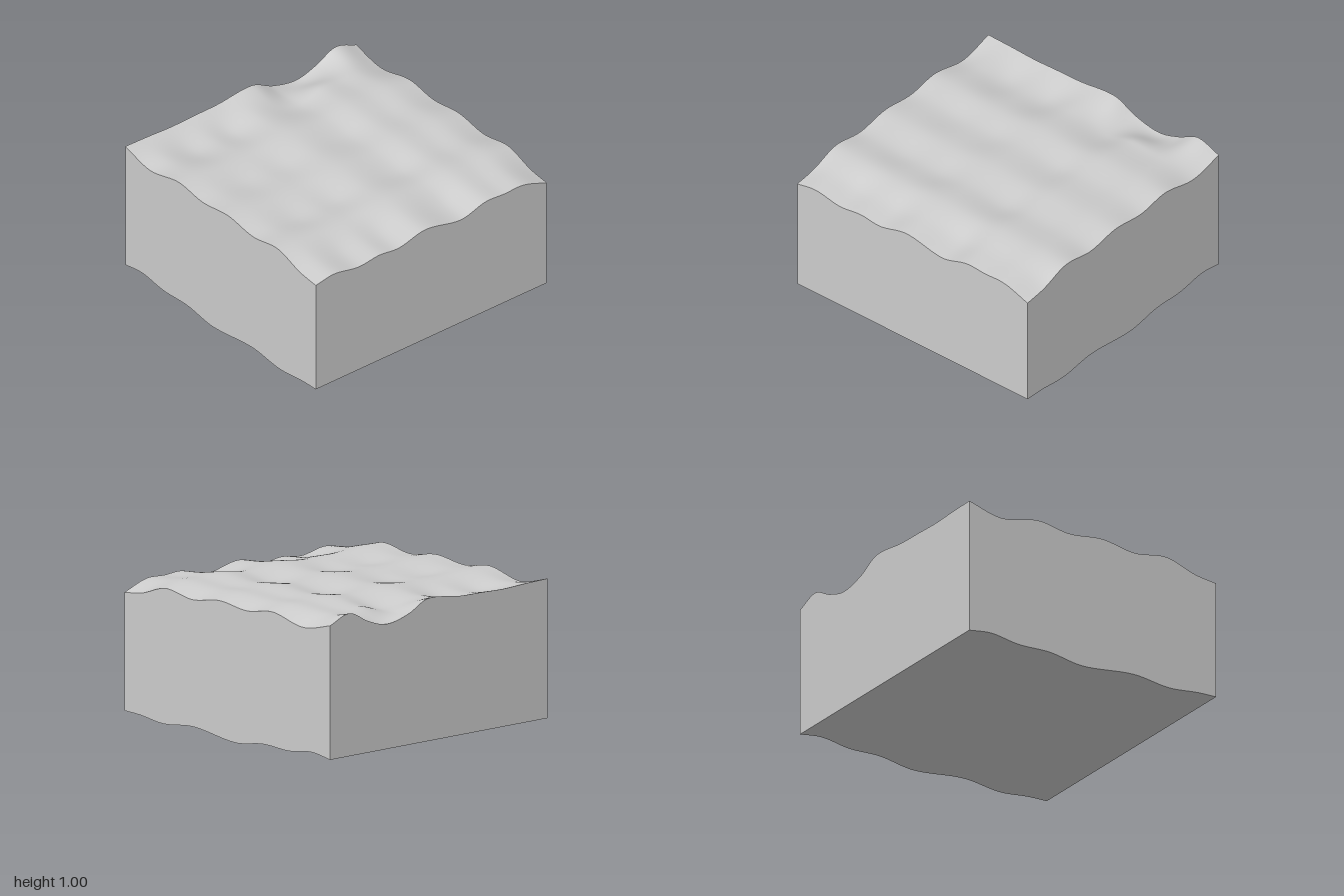
import * as THREE from 'three';

// Smooth curve through [position, height] pairs (cubic Hermite, uneven spacing)
function curve(knots) {
  const slope = knots.map((k, i) => {
    const a = knots[Math.max(i - 1, 0)], b = knots[Math.min(i + 1, knots.length - 1)];
    return (b[1] - a[1]) / (b[0] - a[0]);
  });
  return (t) => {
    let i = 0;
    while (i < knots.length - 2 && t > knots[i + 1][0]) i++;
    const [x0, y0] = knots[i], [x1, y1] = knots[i + 1];
    const d = x1 - x0, u = (t - x0) / d, u2 = u * u, u3 = u2 * u;
    return y0 * (2 * u3 - 3 * u2 + 1) + y1 * (3 * u2 - 2 * u3)
      + d * (slope[i] * (u3 - 2 * u2 + u) + slope[i + 1] * (u3 - u2));
  };
}

// Underside: waves along x only
const underside = curve([[-1, 0.025], [-0.82, 0.05], [-0.6, 0.025], [-0.35, 0.034],
  [-0.08, 0.003], [0.33, 0.05], [0.62, 0.027], [0.85, 0.053], [1, 0.06]]);

// Top: ridge line across x at the front edge
const ridges = curve([[-1, 0.978], [-0.74, 0.92], [-0.44, 0.98], [-0.19, 0.95],
  [0.08, 0.98], [0.34, 0.947], [0.6, 0.984], [0.83, 0.918], [1, 0.897]]);

// Height changes along z on the crests, in the valleys and at the x = -1 edge
const onCrest = curve([[-1, -0.03], [-0.82, -0.008], [-0.65, -0.01], [-0.46, 0], [-0.25, -0.02],
  [0.05, -0.003], [0.4, -0.022], [0.85, -0.004], [1, 0]]);
const inValley = curve([[-1, -0.03], [-0.8, 0.037], [-0.63, 0.037], [-0.47, 0.043], [-0.26, -0.01],
  [0.05, 0.042], [0.28, -0.007], [0.45, 0.008], [0.63, -0.01], [0.84, 0.024], [1, 0]]);
const atEdge = curve([[-1, -0.038], [-0.82, 0.021], [-0.65, -0.055], [-0.48, -0.1], [-0.28, -0.06],
  [-0.1, 0.02], [0.2, -0.004], [0.4, -0.008], [0.6, -0.013], [0.8, -0.005], [1, 0]]);

// How much each x position follows the valley curve
const valleyShare = curve([[-1, 1], [-0.74, 0.9], [-0.44, 0.12], [-0.19, 0.4],
  [0.08, 0.12], [0.34, 0.45], [0.6, 0.12], [0.83, 0.85], [1, 1]]);

function topHeight(x, z) {
  const inner = THREE.MathUtils.lerp(onCrest(z), inValley(z), valleyShare(x));
  const edge = 1 - THREE.MathUtils.smoothstep(x, -1, -0.72);
  return ridges(x) + THREE.MathUtils.lerp(inner, atEdge(z), edge);
}

export function createModel() {
  const group = new THREE.Group();
  group.name = 'terrainBlock';

  // Block with rippled top and underside
  const geometry = new THREE.BoxGeometry(2, 2, 2, 96, 1, 96);
  const p = geometry.attributes.position;
  for (let i = 0; i < p.count; i++) {
    const x = p.getX(i), z = p.getZ(i);
    p.setY(i, p.getY(i) > 0 ? topHeight(x, z) : underside(x));
  }
  geometry.computeVertexNormals();

  const block = new THREE.Mesh(geometry, new THREE.MeshStandardMaterial({ color: 0xcccccc }));
  block.name = 'groundBlock';
  group.add(block);
  return group;
}
